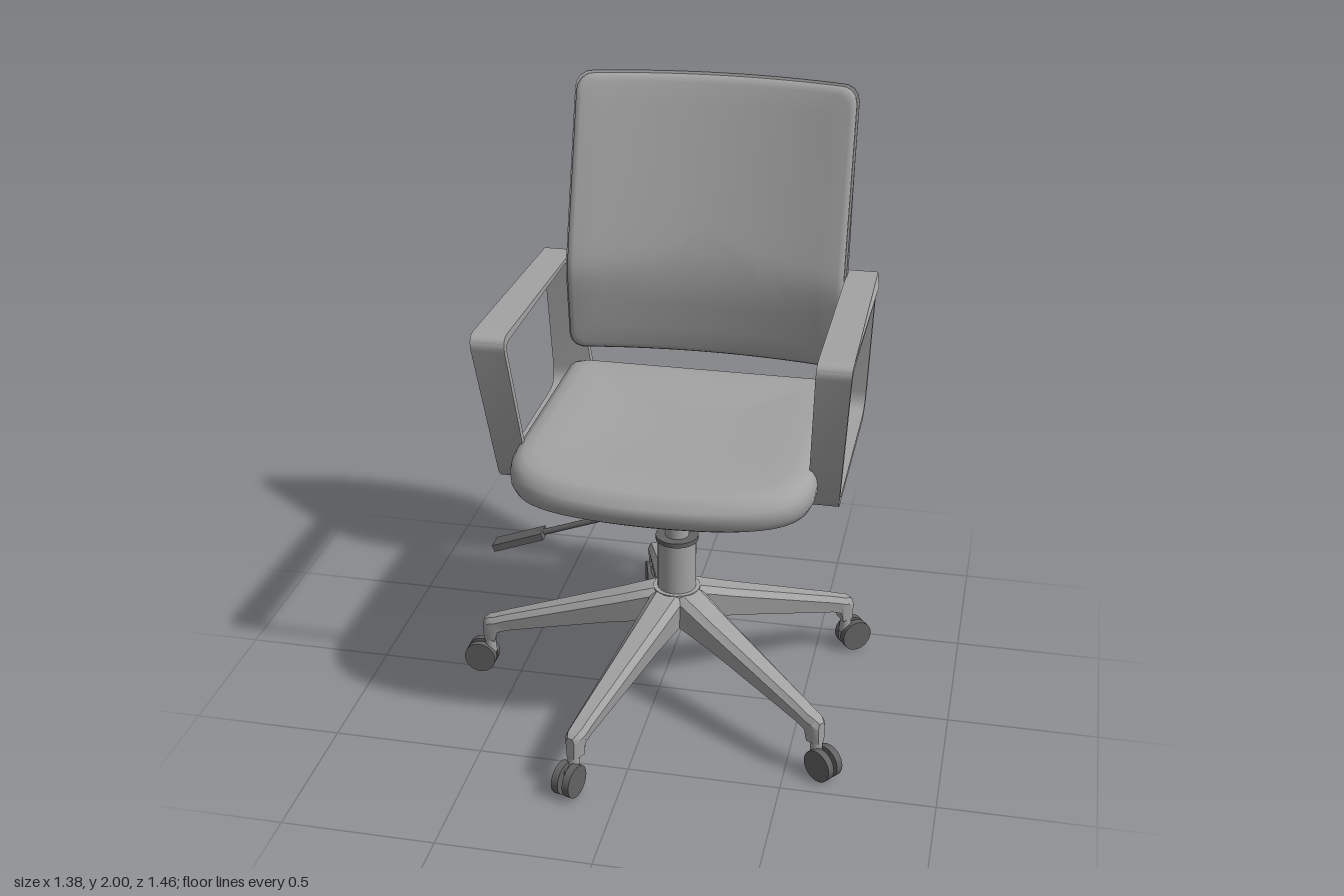
import * as THREE from 'three';
import { toCreasedNormals } from 'three/addons/utils/BufferGeometryUtils.js';

const mat = (name, color) => Object.assign(new THREE.MeshStandardMaterial({ color }), { name });

// Skin a list of equal-length rings of [x, y, z], closing both ends at their centroids.
function loft(rings, crease = 0.6) {
  const n = rings[0].length;
  const mid = (r) => {
    const c = [0, 1, 2].map((k) => r.reduce((s, p) => s + p[k], 0) / n);
    return r.map(() => c);
  };
  const all = [mid(rings[0]), ...rings, mid(rings[rings.length - 1])];
  const index = [];
  for (let i = 0; i < all.length - 1; i++) {
    for (let j = 0; j < n; j++) {
      const a = i * n + j, b = i * n + (j + 1) % n;
      if (i > 0) index.push(a, b, b + n);
      if (i < all.length - 2) index.push(a, b + n, a + n);
      else if (i === 0) index.push(a, b + n, a + n);
    }
  }
  const g = new THREE.BufferGeometry();
  g.setAttribute('position', new THREE.Float32BufferAttribute(all.flat(2), 3));
  g.setIndex(index);
  return toCreasedNormals(g, crease);
}

// Points of a rounded rectangle, counter-clockwise.
function roundedRect(w, h, r, count = 160) {
  const s = new THREE.Shape();
  s.absarc(w - r, h - r, r, 0, Math.PI / 2);
  s.absarc(-w + r, h - r, r, Math.PI / 2, Math.PI);
  s.absarc(-w + r, -h + r, r, Math.PI, Math.PI * 1.5);
  s.absarc(w - r, -h + r, r, Math.PI * 1.5, Math.PI * 2);
  s.closePath();
  return s.getSpacedPoints(count).slice(0, count);
}

// Concentric rings [scale, height] of an outline, placed in space by a rule.
const padded = (outline, rings, rule, crease) =>
  loft(rings.map(([s, h]) => outline.map((p) => rule(p.x * s, p.y * s, h))), crease);

// Backrest curvature: leaning spine, hollow across, thickest at the lumbar.
const spine = (x, y) => {
  const d = y - 1.36;
  return -0.425 - 0.08 * d - 0.23 * (Math.sqrt(d * d + 0.0025) - 0.05)
    - (0.05 + 0.02 * (y - 1.05)) * (1 - (x / 0.48) ** 2);
};
const thickness = (y) => 0.042 + 0.045 * Math.exp(-(((y - 1.4) / 0.22) ** 2));

export function createModel() {
  const grey = mat('light grey', 0xa3a3a3);
  const dark = mat('dark grey', 0x626262);
  const root = new THREE.Group();
  root.name = 'officeChair';
  const chair = new THREE.Group();
  chair.name = 'chair';
  chair.position.x = 0.06;
  root.add(chair);

  const add = (name, geo, m, parent = chair, pos = [0, 0, 0]) => {
    const mesh = new THREE.Mesh(geo, m);
    mesh.name = name;
    mesh.position.set(...pos);
    parent.add(mesh);
    return mesh;
  };
  const cyl = (name, rt, rb, y0, y1, m, parent = chair, x = 0, z = 0) =>
    add(name, new THREE.CylinderGeometry(rt, rb, y1 - y0, 32), m, parent, [x, (y0 + y1) / 2, z]);
  const rod = (name, a, b, r, m) => {
    const va = new THREE.Vector3(...a), vb = new THREE.Vector3(...b);
    const mesh = add(name, new THREE.CylinderGeometry(r, r, va.distanceTo(vb), 12), m);
    mesh.position.copy(va).add(vb).multiplyScalar(0.5);
    mesh.quaternion.setFromUnitVectors(new THREE.Vector3(0, 1, 0), vb.sub(va).normalize());
    return mesh;
  };

  // Seat cushion with a bowed, rounded front
  const plan = new THREE.Shape();
  plan.moveTo(0.43, 0.505);
  plan.lineTo(-0.43, 0.505);
  plan.quadraticCurveTo(-0.48, 0.505, -0.485, 0.45);
  plan.lineTo(-0.49, -0.25);
  plan.bezierCurveTo(-0.48, -0.42, -0.36, -0.495, 0, -0.498);
  plan.bezierCurveTo(0.36, -0.495, 0.48, -0.42, 0.49, -0.25);
  plan.lineTo(0.485, 0.45);
  plan.quadraticCurveTo(0.48, 0.505, 0.43, 0.505);
  const seatRings = [[0.02, 0.872], [0.5, 0.872], [0.92, 0.878], [0.97, 0.893], [0.995, 0.92], [1, 0.95],
    [0.99, 0.98], [0.965, 1.003], [0.92, 1.014], [0.85, 1.017], [0.7, 1.013], [0.5, 1.006], [0.25, 1.001], [0.02, 1]];
  add('seat', padded(plan.getSpacedPoints(120).slice(0, 120), seatRings, (x, y, h) =>
    [x, h - (h > 0.95 ? 0.025 * Math.max(0, (-y - 0.15) / 0.35) ** 2 : 0), -y], 0.9), grey);

  // Backrest shell with recessed rear panel, lumbar band and front pad
  const backRule = (cy) => (x, y, h) => {
    const Y = cy + y;
    return [x, Y, spine(x, Y) + (h < -0.5 ? h + 1 - thickness(Y) : h)];
  };
  const rear = (d) => d - 1; // offset measured from the rear face
  const shell = [[0, rear(0.03)], [0.2, rear(0.03)], [0.4, rear(0.03)], [0.6, rear(0.03)], [0.8, rear(0.03)],
    [0.9, rear(0.03)], [0.915, rear(0.004)], [0.93, rear(0)], [0.985, rear(0)], [1, rear(0.01)],
    [1, -0.026], [0.97, -0.026], [0.7, -0.026], [0.4, -0.026], [0, -0.026]];
  add('backrestFrame', padded(roundedRect(0.482, 0.475, 0.05), shell, backRule(1.525)), grey);
  const pad = [[0, -0.03], [0.5, -0.03], [0.97, -0.03], [0.985, -0.022], [0.985, -0.012], [0.97, -0.003],
    [0.94, 0], [0.8, 0], [0.6, 0], [0.4, 0], [0.2, 0], [0, 0]];
  add('backrestPad', padded(roundedRect(0.482, 0.475, 0.05), pad, backRule(1.525), 0.9), grey);
  const band = [[0, rear(0.005)], [0.3, rear(0.005)], [0.6, rear(0.005)], [0.8, rear(0.005)], [0.97, rear(0.005)],
    [1, rear(0.012)], [1, rear(0.036)], [0.6, rear(0.036)], [0.3, rear(0.036)], [0, rear(0.036)]];
  add('lumbarBand', padded(roundedRect(0.437, 0.135, 0.015), band, backRule(1.365)), grey);

  // Armrest loops, flaring outward as they rise
  const loop = new THREE.Shape();
  loop.moveTo(0.27, 1.408);
  loop.lineTo(-0.535, 1.395);
  loop.lineTo(-0.565, 0.95);
  loop.quadraticCurveTo(-0.565, 0.855, -0.47, 0.855);
  loop.lineTo(0.15, 0.855);
  loop.quadraticCurveTo(0.18, 0.86, 0.19, 0.9);
  loop.lineTo(0.315, 1.36);
  loop.quadraticCurveTo(0.325, 1.408, 0.27, 1.408);
  const hole = new THREE.Path();
  hole.moveTo(0.26, 1.382);
  hole.quadraticCurveTo(0.295, 1.38, 0.288, 1.35);
  hole.lineTo(0.165, 0.9);
  hole.lineTo(0.14, 0.882);
  hole.lineTo(-0.47, 0.882);
  hole.quadraticCurveTo(-0.535, 0.885, -0.535, 0.95);
  hole.lineTo(-0.512, 1.35);
  hole.lineTo(-0.44, 1.378);
  loop.holes.push(hole);
  for (const s of [1, -1]) {
    const g = new THREE.ExtrudeGeometry(loop, { depth: 1, bevelEnabled: false, curveSegments: 8 });
    const p = g.attributes.position;
    for (let i = 0; i < p.count; i++) {
      const z = p.getX(i), y = p.getY(i), d = p.getZ(i);
      const k = (y - 0.855) / 0.55, back = z < -0.45;
      const inner = back ? 0.405 + 0.075 * k : 0.455 + 0.03 * k;
      const outer = 0.555 + (back ? 0.025 : 0.04) * k;
      p.setXYZ(i, s * THREE.MathUtils.lerp(inner, outer, s > 0 ? 1 - d : d), y, z);
    }
    g.deleteAttribute('normal');
    const side = s > 0 ? 'left' : 'right';
    add(side + 'Armrest', toCreasedNormals(g, 0.5), grey);
    add(side + 'ArmBracket', new THREE.BoxGeometry(0.14, 0.025, 0.34), grey, chair, [s * 0.4, 0.868, -0.03]);
  }

  // Tilt mechanism: stacked tapering blocks
  const block = (name, [w0, d0, y0], [w1, d1, y1], z = 0) => {
    const ring = (w, d, y) => [[w, y, z + d], [w, y, z - d], [-w, y, z - d], [-w, y, z + d]];
    add(name, loft([ring(w0, d0, y0), ring(w1, d1, y1)], 0.2), dark);
  };
  block('mountingPlate', [0.22, 0.16, 0.845], [0.25, 0.2, 0.878], -0.01);
  block('mechanismUpper', [0.15, 0.13, 0.815], [0.18, 0.15, 0.85], -0.01);
  block('mechanismBody', [0.13, 0.115, 0.77], [0.14, 0.12, 0.82]);
  block('mechanismLower', [0.07, 0.06, 0.72], [0.12, 0.1, 0.772]);

  // Tension knob with ribbed neck
  const knob = new THREE.Group();
  knob.name = 'tensionKnob';
  knob.position.set(0.2, 0.86, 0);
  knob.rotation.z = 0.1;
  chair.add(knob);
  cyl('knobGrip', 0.06, 0.057, -0.175, -0.095, dark, knob);
  cyl('knobNeck', 0.04, 0.04, -0.1, 0, dark, knob);
  for (let i = 0; i < 4; i++) cyl('knobRib', 0.044, 0.05, -0.085 + i * 0.02, -0.073 + i * 0.02, dark, knob);

  // Height lever
  const bend = [[-0.1, 0.8, 0.07], [-0.18, 0.8, 0.07], [-0.18, 0.8, 0.17], [-0.175, 0.752, 0.17], [-0.44, 0.655, 0.17]];
  for (let i = 0; i < 4; i++) rod('leverRod', bend[i], bend[i + 1], 0.01, dark);
  const paddle = add('leverPaddle', new THREE.BoxGeometry(0.18, 0.024, 0.06), dark, chair, [-0.497, 0.63, 0.17]);
  paddle.rotation.z = 0.36;

  // Gas column
  cyl('piston', 0.04, 0.04, 0.6, 0.73, grey);
  cyl('pistonCollar', 0.052, 0.052, 0.7, 0.725, dark);
  cyl('column', 0.065, 0.065, 0.41, 0.605, grey);
  cyl('columnCap', 0.072, 0.072, 0.597, 0.613, dark);
  cyl('hub', 0.08, 0.065, 0.295, 0.418, grey);

  // Five-star base: [radius, half width, top, bottom]
  const sections = [[0, 0.06, 0.418, 0.295], [0.075, 0.06, 0.416, 0.293], [0.2, 0.053, 0.371, 0.272],
    [0.6, 0.033, 0.237, 0.176], [0.635, 0.032, 0.224, 0.162], [0.645, 0.032, 0.22, 0.125],
    [0.672, 0.028, 0.213, 0.125], [0.688, 0.016, 0.2, 0.125]];
  const leg = loft(sections.map(([r, w, t, b]) => [[r, t, 0.6 * w], [r, t - 0.02, w], [r, b, 0.8 * w],
    [r, b, -0.8 * w], [r, t - 0.02, -w], [r, t, -0.6 * w]]), 0.45);
  for (let i = 0; i < 5; i++) {
    const arm = new THREE.Group();
    arm.name = 'baseLeg' + (i + 1);
    arm.rotation.y = Math.PI + i * Math.PI * 0.4;
    chair.add(arm);
    add('leg', leg, grey, arm);
    cyl('casterStem', 0.02, 0.02, 0.07, 0.13, grey, arm, 0.667);
    add('casterBody', new THREE.BoxGeometry(0.05, 0.05, 0.02), dark, arm, [0.69, 0.065, 0]);
    for (const s of [1, -1]) {
      const wheel = add('casterWheel', new THREE.CylinderGeometry(0.055, 0.055, 0.024, 28), dark, arm, [0.7, 0.055, s * 0.02]);
      wheel.rotation.x = Math.PI / 2;
    }
  }
  return root;
}
